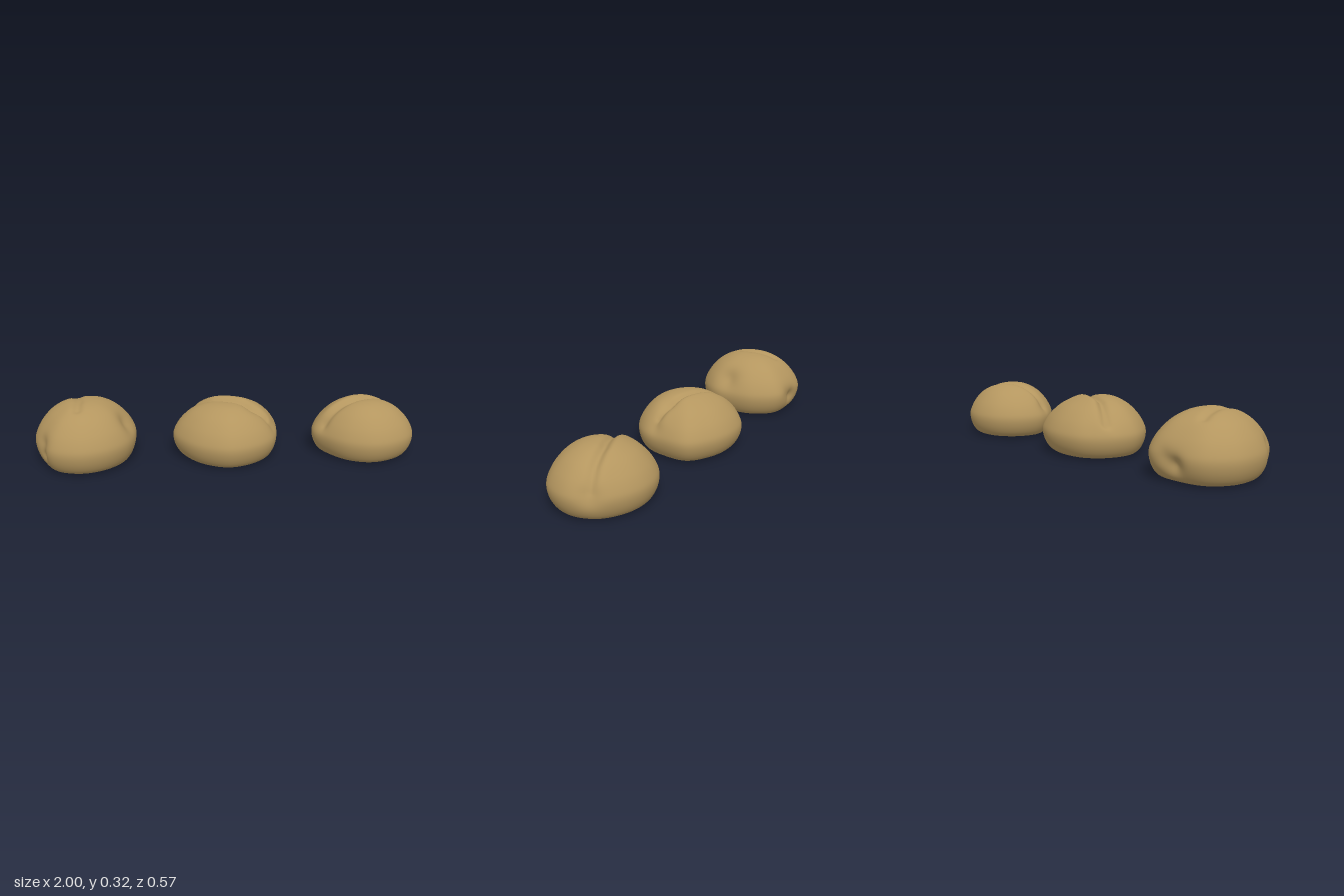
import * as THREE from 'three';
import { mergeVertices } from 'three/addons/utils/BufferGeometryUtils.js';

// Dome section from top centre to underside centre: [radius fraction, height fraction]
const section = new THREE.SplineCurve([
  [0, 1], [0.2, 0.99], [0.42, 0.94], [0.66, 0.82], [0.85, 0.65], [0.965, 0.48], [1, 0.35],
  [0.97, 0.2], [0.89, 0.07], [0.78, 0.012], [0.6, 0.0], [0.3, 0.03], [0, 0.05],
].map(([r, y]) => new THREE.Vector2(r, y)));

// Plan radii are given every 30 degrees, starting at +x and turning towards +z.
// Creases: path of [x, z], width, depth, lift of the lobe on the -z side.
// Dents: [x, y, z, size, depth].
const rolls = [
  {
    name: 'largeRoll', centre: [-0.74, 0], height: 0.318,
    plan: [0.26, 0.265, 0.27, 0.28, 0.28, 0.255, 0.26, 0.28, 0.293, 0.285, 0.302, 0.28],
    creases: [{ path: [[-0.79, -0.13], [-0.765, 0], [-0.76, 0.1]], width: 0.025, depth: 0.014, lift: 0 }],
    dents: [[-0.53, 0.19, 0.03, 0.06, 0.025], [-0.92, 0.13, 0.15, 0.045, 0.025],
      [-0.94, 0.08, 0.17, 0.03, 0.015], [-0.74, 0.09, -0.28, 0.045, 0.03], [-0.68, 0.12, -0.28, 0.04, 0.012]],
  },
  {
    name: 'middleRoll', centre: [0, -0.02], height: 0.295,
    plan: [0.267, 0.265, 0.26, 0.265, 0.255, 0.26, 0.283, 0.285, 0.283, 0.27, 0.275, 0.298],
    creases: [{ path: [[-0.2, -0.16], [-0.08, -0.08], [0.08, -0.02], [0.2, 0.02]], width: 0.022, depth: 0.024, lift: 0.008 }],
    dents: [[0.14, 0.26, 0.01, 0.05, 0.015], [0.25, 0.17, 0.03, 0.04, 0.01]],
  },
  {
    name: 'smallRoll', centre: [0.73, -0.02], height: 0.291,
    plan: [0.267, 0.26, 0.245, 0.24, 0.235, 0.24, 0.27, 0.265, 0.255, 0.245, 0.245, 0.26],
    creases: [{ path: [[0.51, 0.03], [0.65, -0.02], [0.77, -0.07], [0.87, -0.1], [0.95, -0.13]], width: 0.024, depth: 0.024, lift: 0.006 }],
    dents: [[0.97, 0.13, -0.13, 0.05, 0.018], [0.49, 0.17, 0.03, 0.04, 0.012]],
  },
];

// Nearest point on a path in the xz plane
function nearest(path, x, z) {
  let best = { d: Infinity, z: 0 };
  for (let i = 0; i < path.length - 1; i++) {
    const [ax, az] = path[i], [bx, bz] = path[i + 1];
    const dx = bx - ax, dz = bz - az;
    const t = THREE.MathUtils.clamp(((x - ax) * dx + (z - az) * dz) / (dx * dx + dz * dz), 0, 1);
    const px = ax + dx * t, pz = az + dz * t;
    const d = Math.hypot(x - px, z - pz);
    if (d < best.d) best = { d, z: pz };
  }
  return best;
}

function rollGeometry({ centre, height, plan, creases, dents }) {
  const geometry = new THREE.SphereGeometry(1, 112, 80);
  geometry.deleteAttribute('uv');
  geometry.deleteAttribute('normal');
  const outline = new THREE.CatmullRomCurve3(plan.map((r, i) => {
    const a = i * Math.PI / 6;
    return new THREE.Vector3(Math.cos(a) * r, 0, Math.sin(a) * r);
  }), true);
  const pos = geometry.attributes.position;
  const p = new THREE.Vector3(), edge = new THREE.Vector3(), dent = new THREE.Vector3();
  const core = new THREE.Vector3(centre[0], 0.11, centre[1]);
  for (let i = 0; i < pos.count; i++) {
    p.fromBufferAttribute(pos, i);
    const lat = Math.acos(THREE.MathUtils.clamp(p.y, -1, 1)) / Math.PI;
    const turn = (Math.atan2(p.z, p.x) / (2 * Math.PI) + 1) % 1;
    const s = section.getPoint(lat);
    outline.getPoint(turn, edge);
    p.set(centre[0] + edge.x * s.x, Math.max(0, s.y * height), centre[1] + edge.z * s.x);

    // Creases across the crust
    const top = THREE.MathUtils.smoothstep(p.y, 0.1, 0.2);
    for (const c of creases) {
      const n = nearest(c.path, p.x, p.z);
      const side = Math.tanh((n.z - p.z) / 0.012);
      p.y += top * (c.lift * side * Math.exp(-((n.d / 0.07) ** 2)) - c.depth * Math.exp(-((n.d / c.width) ** 2)));
    }
    // Dents pressed towards the core
    for (const [x, y, z, size, depth] of dents) {
      const d = p.distanceTo(dent.set(x, y, z));
      const push = dent.copy(core).sub(p).normalize();
      p.addScaledVector(push, depth * Math.exp(-((d / size) ** 2)));
    }
    pos.setXYZ(i, p.x, Math.max(0, p.y), p.z);
  }
  const smooth = mergeVertices(geometry, 1e-5);
  smooth.computeVertexNormals();
  return smooth;
}

export function createModel() {
  const group = new THREE.Group();
  group.name = 'breadRolls';
  const crust = new THREE.MeshStandardMaterial({ color: 0xb4965f });
  crust.name = 'crust';
  for (const roll of rolls) {
    const mesh = new THREE.Mesh(rollGeometry(roll), crust);
    mesh.name = roll.name;
    group.add(mesh);
  }
  return group;
}
